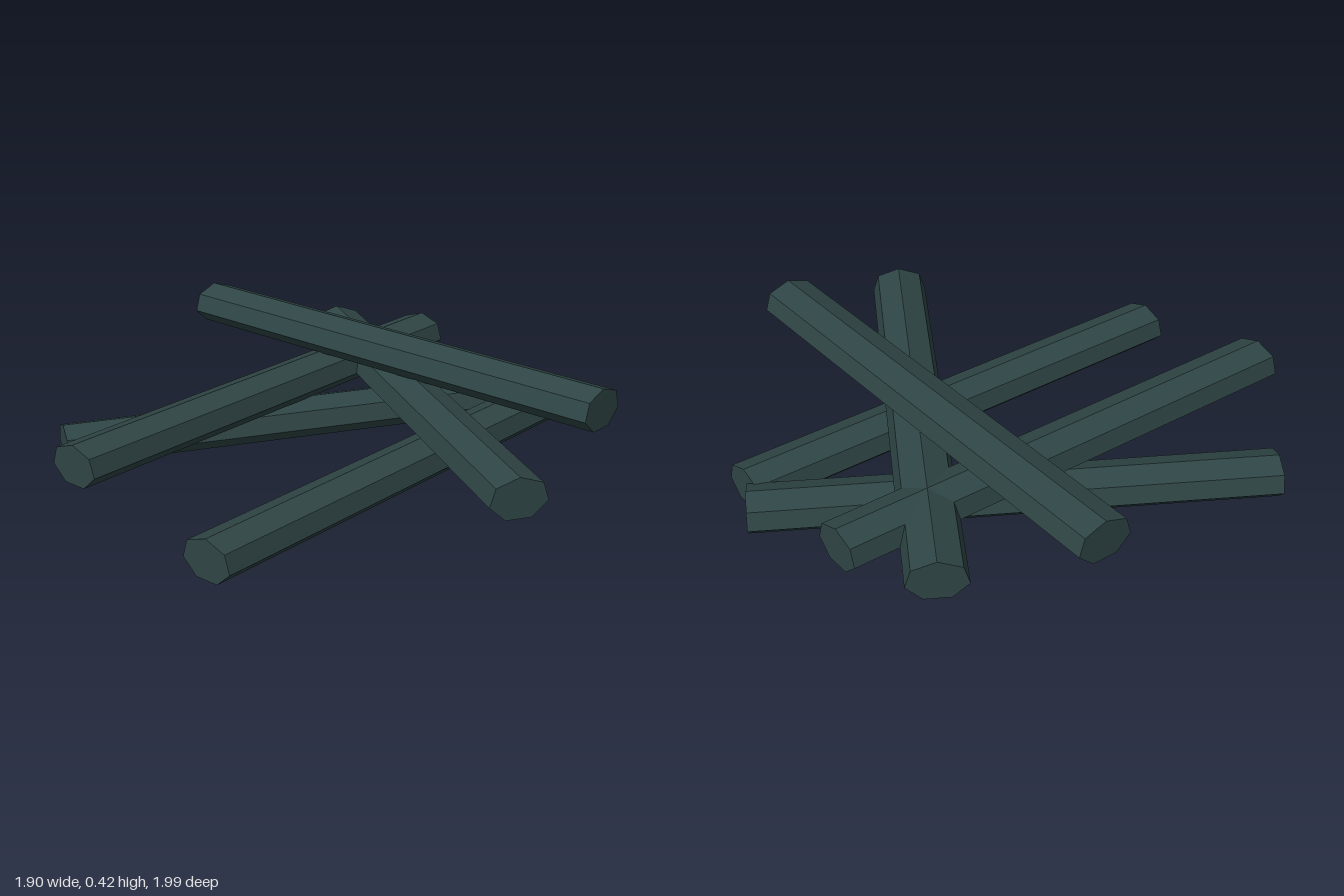
import * as THREE from 'three';

const HEIGHT = 0.145;   // log thickness
const HALF_WIDTH = 0.106;

// Squashed seven-sided log along z, flat side down, resting on y = 0
function logGeometry(length) {
  const ry = HEIGHT / (1 + Math.cos(Math.PI / 7));
  return new THREE.CylinderGeometry(1, 1, length, 7)
    .rotateX(-Math.PI / 2)
    .scale(HALF_WIDTH, ry, 1)
    .translate(0, HEIGHT - ry, 0);
}

export function createModel() {
  const group = new THREE.Group();
  group.name = 'logPile';
  const material = new THREE.MeshStandardMaterial({ color: 0x2f4545, flatShading: true });

  // name, bottom height, start (x, z), end (x, z)
  const logs = [
    ['bottomLogLeaning', 0, [-0.856, 0.557], [0.245, -0.938]],
    ['bottomLogStraight', 0, [0.169, 0.98], [0.354, -0.869]],
    ['middleLogStraight', 0.14, [-0.454, 0.911], [-0.269, -0.946]],
    ['middleLogLeaning', 0.14, [0.887, 0.285], [-0.61, -0.819]],
    ['topLog', 0.28, [-0.943, -0.425], [0.905, -0.24]],
  ];

  for (const [name, y, [x1, z1], [x2, z2]] of logs) {
    const dx = x2 - x1, dz = z2 - z1;
    const log = new THREE.Mesh(logGeometry(Math.hypot(dx, dz)), material);
    log.name = name;
    log.position.set((x1 + x2) / 2, y, (z1 + z2) / 2);
    log.rotation.y = Math.atan2(dx, dz);
    group.add(log);
  }
  return group;
}
